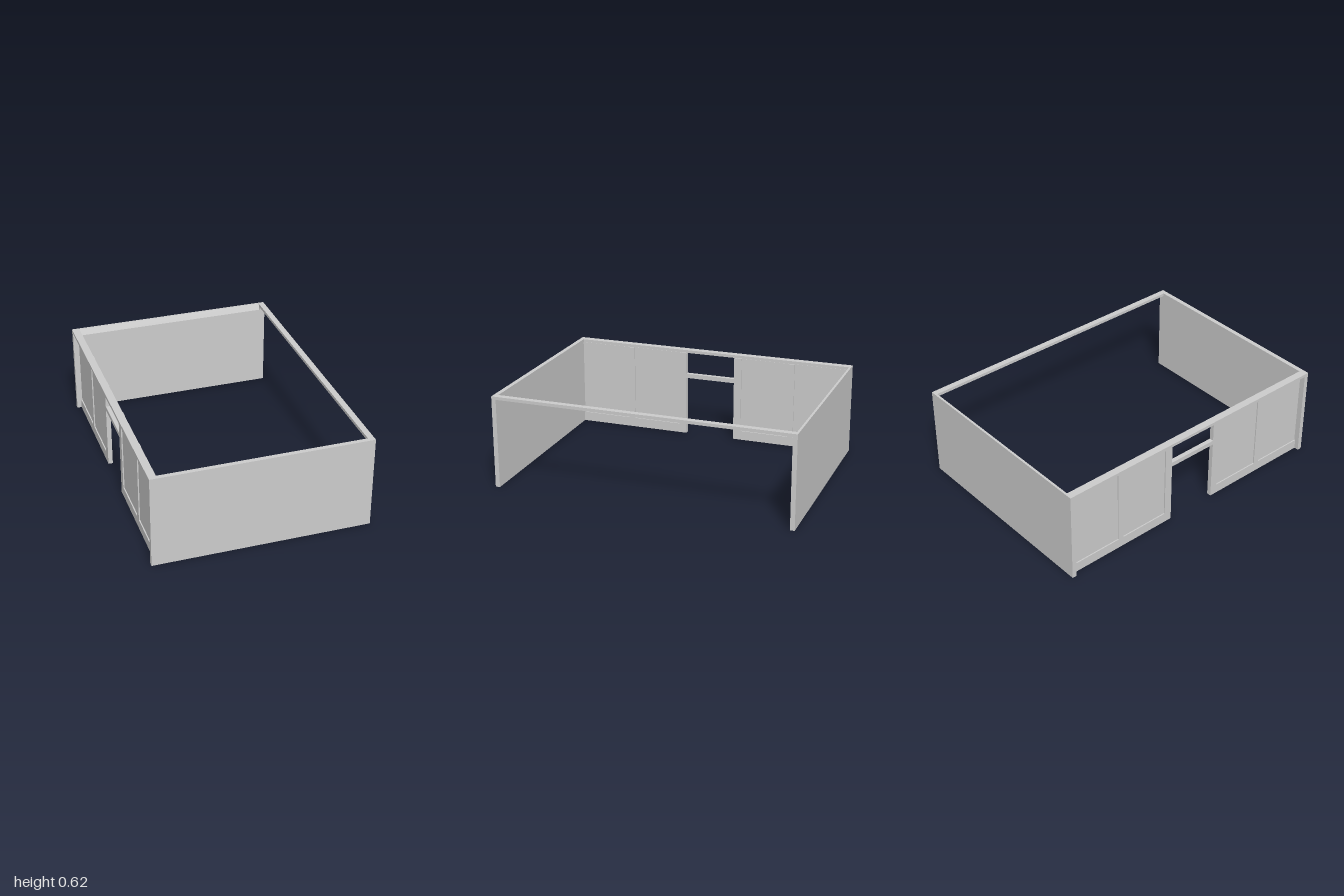
import * as THREE from 'three';

const material = new THREE.MeshStandardMaterial({ color: 0xcccccc, flatShading: true });
const W = 0.71, H = 0.617, D = 1, T = 0.03, RAIL = 0.597;

// Box given by its min and max on each axis
function box(parent, name, [x0, x1], [y0, y1], [z0, z1]) {
  const mesh = new THREE.Mesh(new THREE.BoxGeometry(x1 - x0, y1 - y0, z1 - z0), material);
  mesh.name = name;
  mesh.position.set((x0 + x1) / 2, (y0 + y1) / 2, (z0 + z1) / 2);
  parent.add(mesh);
  return mesh;
}

export function createModel() {
  const model = new THREE.Group();
  model.name = 'counterFrame';

  // Solid end walls; the back one has a steep bevel along its inner top edge
  box(model, 'frontWall', [-W, W], [0, H], [D - T, D]);
  const x0 = -0.66, x1 = 0.67;
  box(model, 'backWallEndRight', [-W, x0], [0, H], [-D, -D + T]);
  box(model, 'backWallEndLeft', [x1, W], [0, H], [-D, -D + T]);
  const profile = new THREE.Shape([
    [D, 0], [D, H], [D - 0.015, H], [D - T, H - 0.042], [D - T, 0],
  ].map(([x, y]) => new THREE.Vector2(x, y)));
  const backGeometry = new THREE.ExtrudeGeometry(profile, { depth: x1 - x0, bevelEnabled: false });
  const backWall = new THREE.Mesh(backGeometry, material);
  backWall.name = 'backWall';
  backWall.rotation.y = Math.PI / 2; // profile x becomes -z, extrusion runs along +x
  backWall.position.x = x0;
  model.add(backWall);

  // Top beams joining the end walls
  box(model, 'rightTopBeam', [-W, x0], [RAIL, H], [-D + T, D - T]);
  box(model, 'leftTopBeam', [x1, W], [RAIL, H], [-D + T, D - T]);

  // Panelled side: two framed sections either side of an opening
  const frame = [-0.68, -0.65], inset = [-0.672, -0.658];
  for (const side of [1, -1]) {
    const section = new THREE.Group();
    section.name = side > 0 ? 'frontPanelSection' : 'backPanelSection';
    model.add(section);
    const span = (a, b) => (side > 0 ? [a, b] : [-b, -a]);
    box(section, 'bottomRail', frame, [0, 0.065], span(0.175, D - T));
    box(section, 'openingPost', frame, [0.065, RAIL], span(0.175, 0.228));
    box(section, 'middleStile', frame, [0.065, RAIL], span(0.57, 0.61));
    box(section, 'innerPanel', inset, [0.065, RAIL], span(0.228, 0.57));
    box(section, 'outerPanel', inset, [0.065, RAIL], span(0.61, D - T));
  }

  // Bar across the opening
  box(model, 'crossBar', frame, [0.415, 0.445], [-0.175, 0.175]);

  return model;
}
